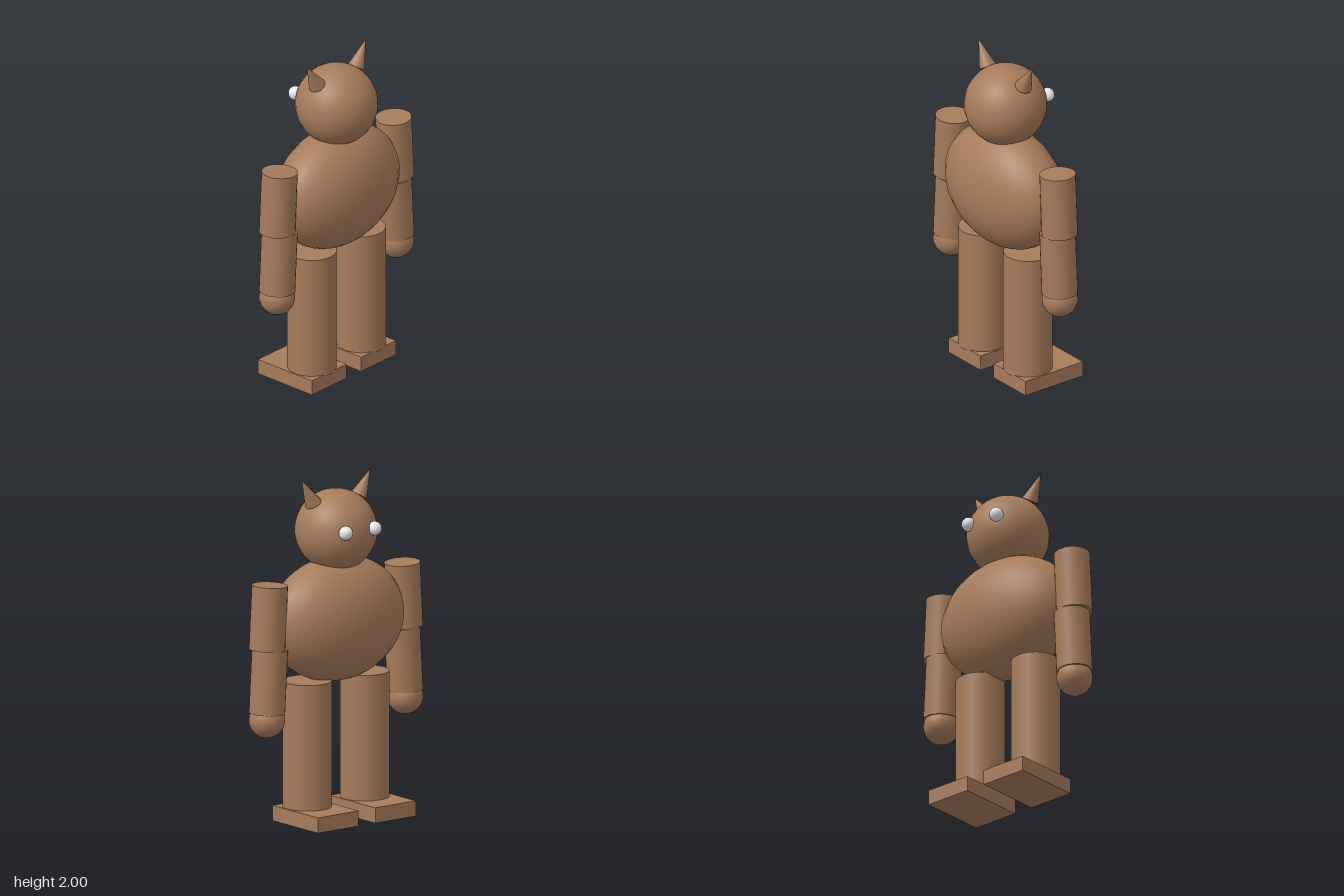
import * as THREE from 'three';

export function createModel() {
  const model = new THREE.Group();
  model.name = 'hornedCreature';
  const fur = new THREE.MeshStandardMaterial({ color: 0xa67b5b });
  fur.name = 'brown';
  const white = new THREE.MeshStandardMaterial({ color: 0xffffff });
  white.name = 'white';
  const Z = 0.012; // depth of the body axis

  const add = (name, geometry, x, y, z = Z, material = fur) => {
    const mesh = new THREE.Mesh(geometry, material);
    mesh.name = name;
    mesh.position.set(x, y, z);
    model.add(mesh);
    return mesh;
  };

  // Egg-shaped torso and round head
  add('torso', new THREE.SphereGeometry(1, 24, 24), 0, 1.165).scale.set(0.455, 0.365, 0.26);
  add('head', new THREE.SphereGeometry(0.238, 32, 32), 0, 1.682);

  const eye = new THREE.SphereGeometry(0.041, 20, 16);
  const horn = new THREE.ConeGeometry(0.05, 0.168, 20);
  const arm = new THREE.CylinderGeometry(0.104, 0.104, 0.374, 28);
  const hand = new THREE.SphereGeometry(0.104, 24, 20);
  const leg = new THREE.CylinderGeometry(0.142, 0.142, 0.373, 32);
  const foot = new THREE.BoxGeometry(0.296, 0.09, 0.418);

  for (const [side, s] of [['left', 1], ['right', -1]]) {
    // Face looks toward -z
    add(side + 'Eye', eye, s * 0.105, 1.713, -0.211, white);
    add(side + 'Horn', horn, s * 0.208, 1.929).rotation.z = -s * 0.524;

    // Arms lean slightly outward toward the hand
    add(side + 'UpperArm', arm, s * 0.494, 1.236).rotation.z = s * 0.056;
    add(side + 'Forearm', arm, s * 0.494, 0.862).rotation.z = s * 0.056;
    add(side + 'Hand', hand, s * 0.505, 0.635);

    // Two-part legs on flat feet
    add(side + 'Thigh', leg, s * 0.209, 0.64);
    add(side + 'Shin', leg, s * 0.209, 0.267);
    add(side + 'Foot', foot, s * 0.209, 0.045, -0.063);
  }
  return model;
}
